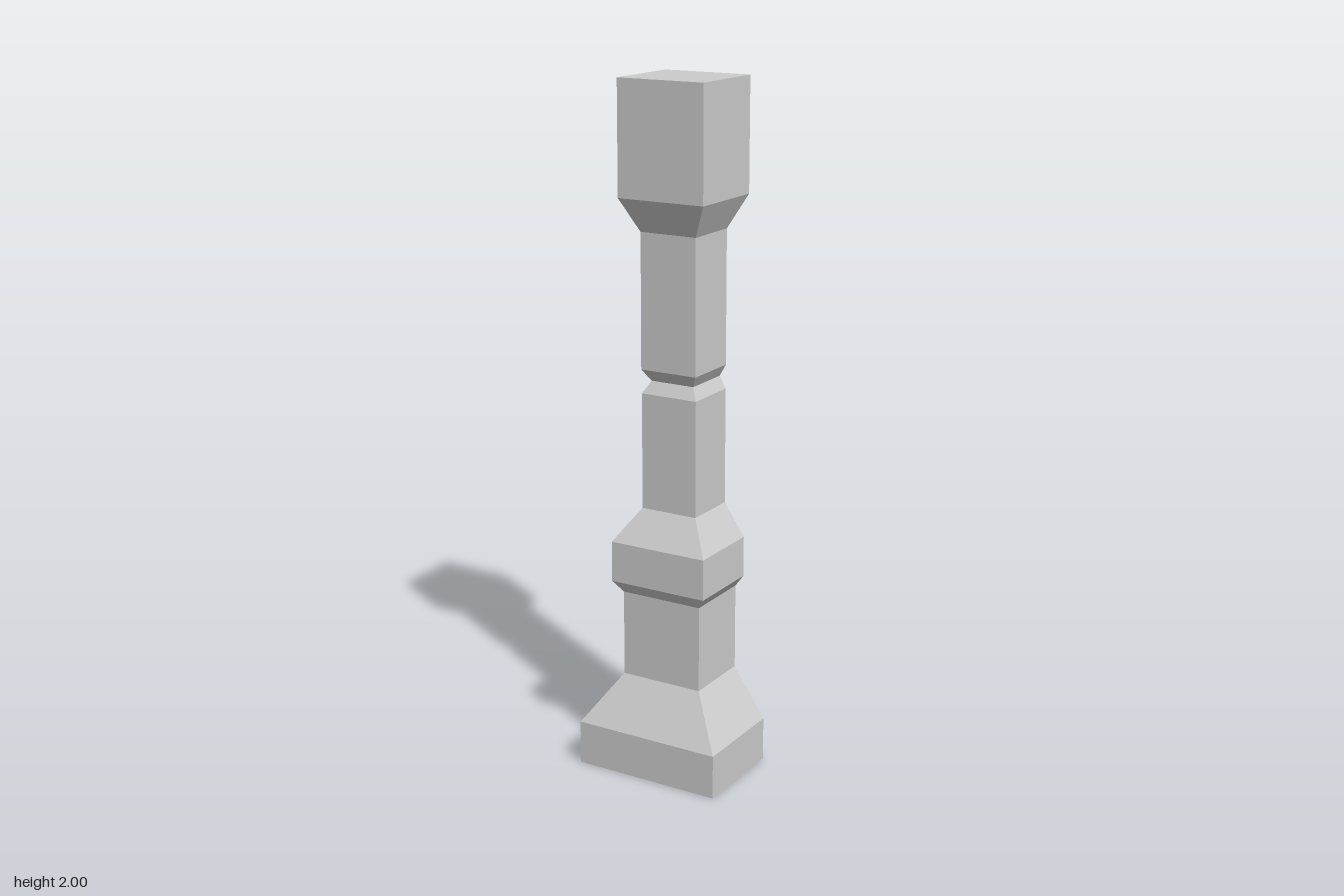
import * as THREE from 'three';

const BACK = -0.13;

// Corners of a rectangular ring, counter-clockwise seen from above.
const corners = ([y, halfWidth, front, back = BACK]) => [
  [-halfWidth, y, front], [halfWidth, y, front], [halfWidth, y, back], [-halfWidth, y, back],
];

// Lofts rectangular rings [y, halfWidth, front, back] from bottom to top.
function loft(name, rings, { bottom = false, top = false } = {}) {
  const positions = [];
  const quad = (a, b, c, d) => positions.push(...a, ...b, ...c, ...a, ...c, ...d);
  const loops = rings.map(corners);
  for (let i = 0; i < loops.length - 1; i++) {
    for (let j = 0; j < 4; j++) {
      const k = (j + 1) % 4;
      quad(loops[i][j], loops[i][k], loops[i + 1][k], loops[i + 1][j]);
    }
  }
  if (bottom) quad(...[...loops[0]].reverse());
  if (top) quad(...loops[loops.length - 1]);
  const geometry = new THREE.BufferGeometry();
  geometry.setAttribute('position', new THREE.Float32BufferAttribute(positions, 3));
  geometry.computeVertexNormals();
  const material = new THREE.MeshStandardMaterial({ color: 0xcccccc, flatShading: true });
  const mesh = new THREE.Mesh(geometry, material);
  mesh.name = name;
  return mesh;
}

export function createModel() {
  const group = new THREE.Group();
  group.name = 'halfBaluster';

  group.add(
    // Plinth with sloped shoulder, then the straight pedestal
    loft('base', [[0, 0.225, 0.168], [0.13, 0.225, 0.168], [0.275, 0.126, 0.08], [0.53, 0.126, 0.08]], { bottom: true }),
    // Projecting band
    loft('collar', [[0.53, 0.126, 0.08], [0.565, 0.152, 0.102], [0.685, 0.152, 0.102], [0.78, 0.088, 0.037]]),
    // Slim shaft with a V-shaped notch at mid height
    loft('shaft', [[0.78, 0.088, 0.037], [1.12, 0.088, 0.037], [1.155, 0.068, 0.017], [1.19, 0.088, 0.04], [1.58, 0.088, 0.04]]),
    // Head block, flaring out on all four sides
    loft('head', [[1.58, 0.088, 0.04], [1.675, 0.135, 0.081, -0.17], [2, 0.135, 0.081, -0.17]], { top: true }),
  );
  return group;
}
